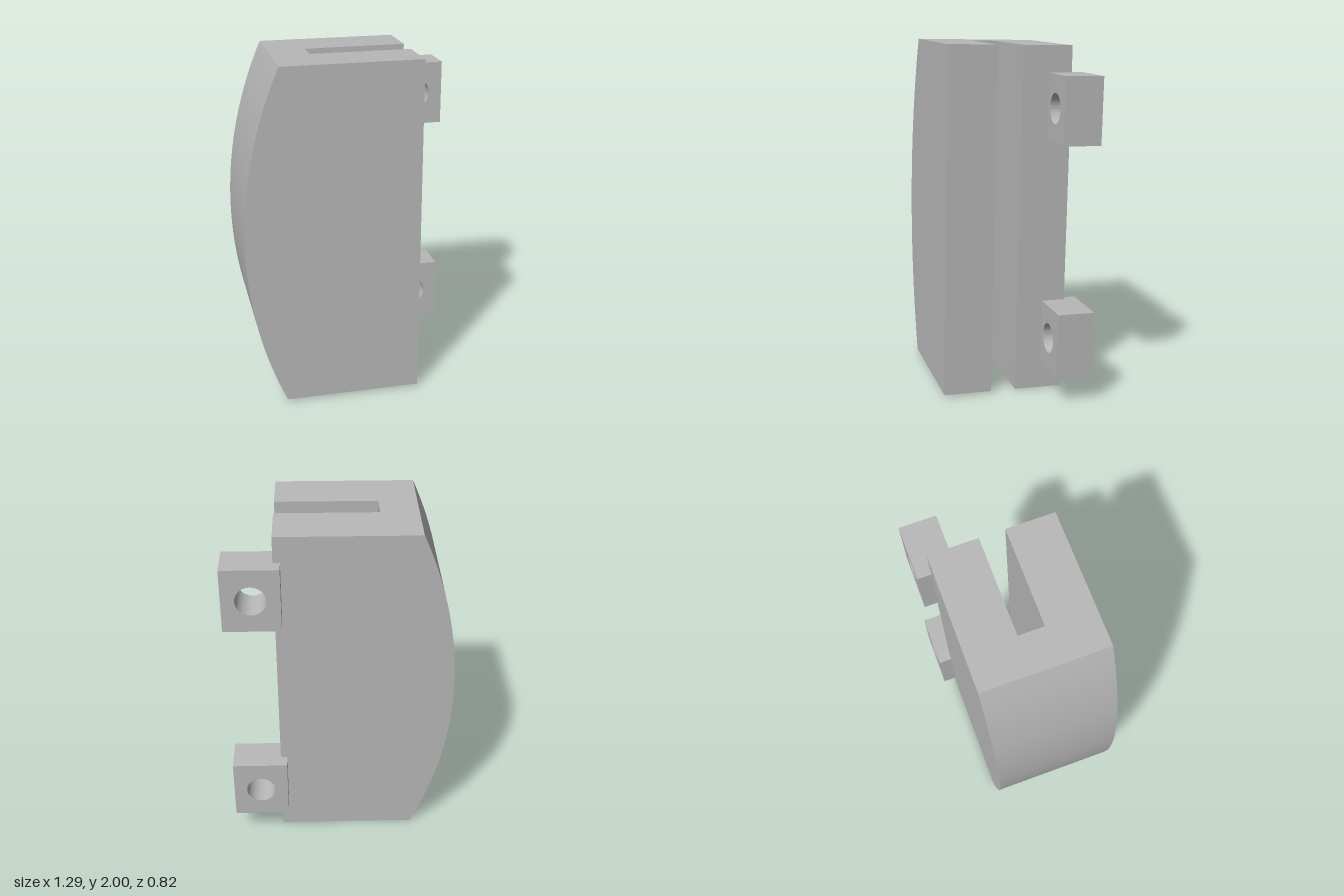
import * as THREE from 'three';
import { toCreasedNormals } from 'three/addons/utils/BufferGeometryUtils.js';

const HEIGHT = 1.985, DEPTH = 0.705;
const SIDE = 0.36, END = -0.43, BULGE = 0.215;
const TILT = -0.0205;

// U-shaped section swept upwards, with its closed side bowed into an arc
function bodyGeometry() {
  const slotEnd = -0.215, slotBack = 0.283, slotFront = 0.428;
  const section = new THREE.Shape([
    [END, 0], [SIDE, 0], [SIDE, slotBack], [slotEnd, slotBack],
    [slotEnd, slotFront], [SIDE, slotFront], [SIDE, DEPTH], [END, DEPTH],
  ].map(([x, z]) => new THREE.Vector2(x, -z)));
  const geometry = new THREE.ExtrudeGeometry(section, { depth: HEIGHT, steps: 48, bevelEnabled: false });
  geometry.rotateX(-Math.PI / 2);

  const half = HEIGHT / 2;
  const radius = (half * half + BULGE * BULGE) / (2 * BULGE);
  const pos = geometry.attributes.position;
  for (let i = 0; i < pos.count; i++) {
    if (pos.getX(i) > END + 0.001) continue;
    const dy = pos.getY(i) - half;
    pos.setX(i, END - BULGE + radius - Math.sqrt(radius * radius - dy * dy));
  }
  return toCreasedNormals(geometry, 0.5);
}

// Square block with a round through hole, centred on the hole in x and y
function lugGeometry() {
  const w = 0.16, h = 0.186;
  const face = new THREE.Shape([[-w, -h], [w, -h], [w, h], [-w, h]].map(([x, y]) => new THREE.Vector2(x, y)));
  const hole = new THREE.Path();
  hole.absarc(0, 0, 0.085, 0, Math.PI * 2, true);
  face.holes.push(hole);
  const geometry = new THREE.ExtrudeGeometry(face, { depth: 0.212, curveSegments: 40, bevelEnabled: false });
  return toCreasedNormals(geometry, 0.5);
}

export function createModel() {
  const grey = new THREE.MeshStandardMaterial({ color: 0xb8b8b8 });
  grey.name = 'plain grey';

  const model = new THREE.Group();
  model.name = 'slottedBracket';

  // Everything leans back slightly about the lower back edge
  const leaning = new THREE.Group();
  leaning.name = 'leaningAssembly';
  leaning.position.z = -0.295;
  leaning.rotation.x = TILT;
  model.add(leaning);

  const body = new THREE.Mesh(bodyGeometry(), grey);
  body.name = 'slottedBody';
  leaning.add(body);

  // Mounting lugs wrapped around the back corner
  const lug = lugGeometry();
  for (const [name, y] of [['lowerLug', 0.342], ['upperLug', 1.65]]) {
    const mesh = new THREE.Mesh(lug, grey);
    mesh.name = name;
    mesh.position.set(0.481, y, -0.08);
    leaning.add(mesh);
  }
  return model;
}
